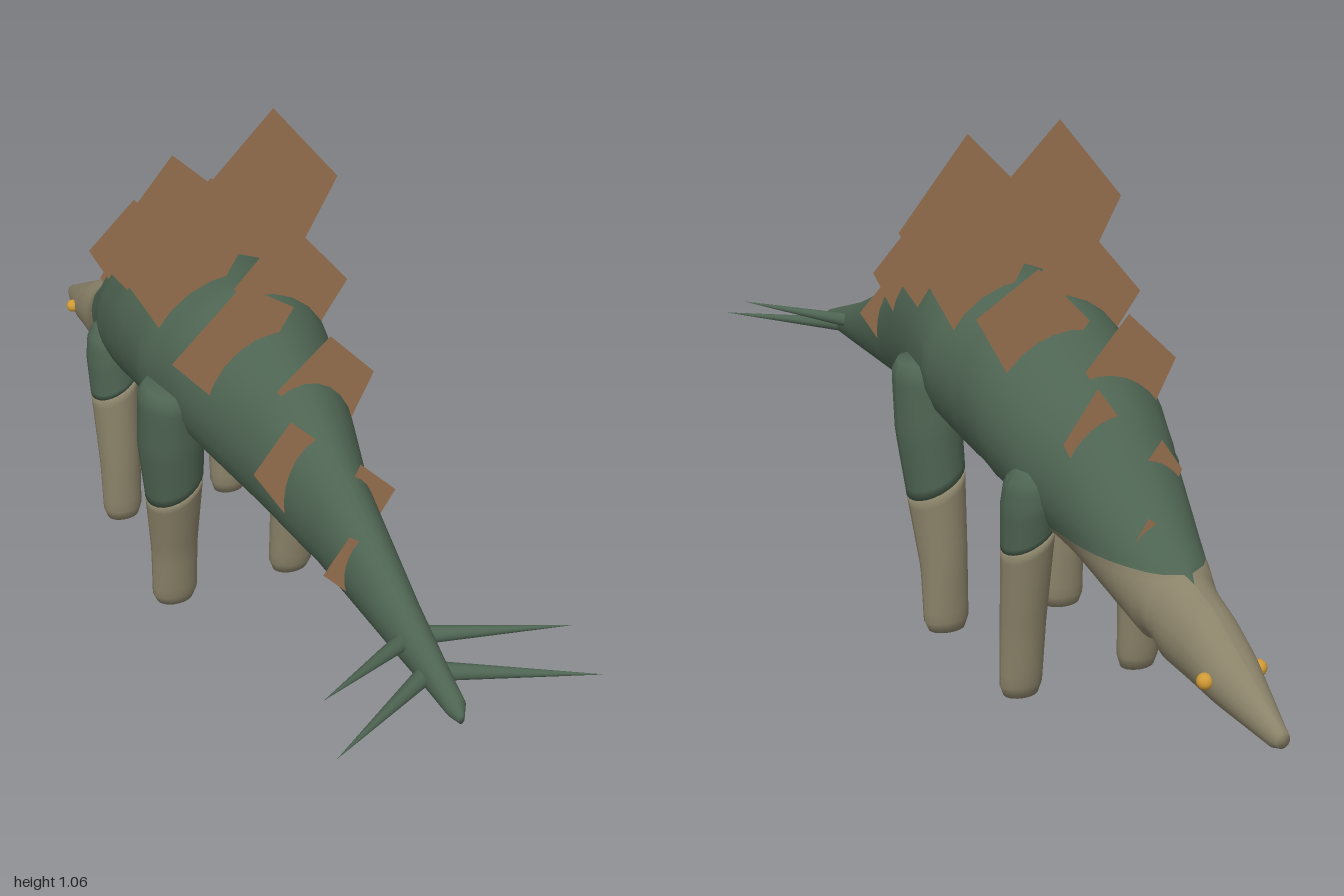
import * as THREE from 'three';

const mat = (name, color, side = THREE.FrontSide) => {
  const m = new THREE.MeshStandardMaterial({ color, side });
  m.name = name;
  return m;
};
const green = mat('moss green hide', 0x4e6452);
const tan = mat('tan underside', 0x8a8269);
const brown = mat('brown plate', 0x9a7351, THREE.DoubleSide);
const gold = mat('amber eye', 0xd09a35);

// Piecewise linear lookup in a list of [key, value] pairs with rising keys
function sample(list, k) {
  let i = 1;
  while (i < list.length - 1 && list[i][0] < k) i++;
  const [a, va] = list[i - 1], [b, vb] = list[i];
  return va + (vb - va) * THREE.MathUtils.clamp((k - a) / (b - a), 0, 1);
}

// Skins a grid of rows x columns of points, wound so that the outside faces out
function skin(rows, flip) {
  const n = rows[0].length, idx = [];
  for (let i = 0; i < rows.length - 1; i++) {
    for (let j = 0; j < n - 1; j++) {
      const a = i * n + j, b = a + 1, c = a + n, d = c + 1;
      if (flip) idx.push(a, c, b, b, c, d);
      else idx.push(a, b, c, b, d, c);
    }
  }
  const g = new THREE.BufferGeometry();
  g.setAttribute('position', new THREE.Float32BufferAttribute(rows.flat(2), 3));
  g.setIndex(idx);
  g.computeVertexNormals();
  return g;
}

function add(parent, name, geometry, material) {
  const m = new THREE.Mesh(geometry, material);
  m.name = name;
  parent.add(m);
  return m;
}

// Body outlines along z, from the snout to the tail tip
const TOP = [[-1, 0.215], [-0.78, 0.345], [-0.71, 0.37], [-0.6, 0.465], [-0.44, 0.615], [-0.19, 0.75],
  [0.07, 0.775], [0.33, 0.70], [0.51, 0.605], [0.74, 0.50], [0.94, 0.43], [0.96, 0.41]];
const BOTTOM = [[-1, 0.185], [-0.98, 0.177], [-0.7, 0.205], [-0.665, 0.235], [-0.64, 0.225], [-0.45, 0.3],
  [-0.3, 0.345], [0, 0.41], [0.14, 0.405], [0.46, 0.39], [0.96, 0.39]];
const WIDTH = [[-1, 0.014], [-0.97, 0.022], [-0.85, 0.052], [-0.69, 0.07], [-0.47, 0.125], [-0.35, 0.165],
  [-0.24, 0.182], [-0.02, 0.195], [0.13, 0.165], [0.3, 0.118], [0.5, 0.066], [0.87, 0.025], [0.95, 0.018], [0.96, 0.006]];

// The body is split into a green back and a tan underside at a given height
function bodyRows(upper) {
  const rows = [];
  const zs = [];
  for (let i = 0; i <= 98; i++) zs.push(-1 + i * 0.02);
  for (const z of [zs[0], ...zs, zs[98]]) {
    const cap = rows.length === 0 || rows.length === zs.length + 1;
    const t = sample(TOP, z), b = sample(BOTTOM, z), w = sample(WIDTH, z);
    const cy = (t + b) / 2, ry = (t - b) / 2;
    const cut = z > 0 ? 0.3 : 0.378;
    const a0 = Math.asin(THREE.MathUtils.clamp((cut - cy) / ry, -1, 1));
    const from = upper ? a0 : Math.PI - a0, to = upper ? Math.PI - a0 : 2 * Math.PI + a0;
    const row = [];
    for (let j = 0; j <= 24; j++) {
      const a = from + (to - from) * j / 24;
      row.push(cap ? [0, cy, z] : [w * Math.cos(a), cy + ry * Math.sin(a), z]);
    }
    rows.push(row);
  }
  return rows;
}

// Leg sections: [y, x, z, half width in x, half width in z]
const HIND = [[0, 0.137, 0.005, 0.04, 0.028], [0.015, 0.137, 0.006, 0.049, 0.034], [0.15, 0.138, 0.012, 0.05, 0.046],
  [0.33, 0.145, 0.035, 0.06, 0.067], [0.45, 0.155, 0.045, 0.067, 0.073], [0.56, 0.164, 0.055, 0.058, 0.07],
  [0.58, 0.164, 0.057, 0.046, 0.055]];
const FORE = [[0, 0.132, -0.32, 0.036, 0.026], [0.015, 0.132, -0.32, 0.044, 0.032], [0.15, 0.131, -0.327, 0.046, 0.041],
  [0.33, 0.131, -0.345, 0.052, 0.054], [0.42, 0.132, -0.355, 0.055, 0.06], [0.46, 0.132, -0.358, 0.05, 0.055],
  [0.485, 0.132, -0.36, 0.03, 0.035]];

function legRows(sections, side, y0, y1) {
  const col = (k, y) => sample(sections.map((s) => [s[0], s[k]]), y);
  const rows = [], steps = 14;
  for (let i = -1; i <= steps + 1; i++) {
    const y = y0 + (y1 - y0) * THREE.MathUtils.clamp(i / steps, 0, 1);
    const cap = i < 0 || i > steps ? 0 : 1;
    // The colour border is slanted, higher on the inside of the leg
    const tilt = y0 === 0 ? (y / y1) : 1 - (y - y0) / (y1 - y0);
    const row = [];
    for (let j = 0; j <= 24; j++) {
      const a = j / 24 * Math.PI * 2;
      const dx = col(3, y) * Math.cos(a) * cap;
      row.push([side * (col(1, y) + dx), y - dx * 0.55 * tilt, col(2, y) + col(4, y) * Math.sin(a) * cap]);
    }
    rows.push(row);
  }
  return rows;
}

// Back plates from tail to neck: z, then apex, outer, base and inner corners as x, y
const PLATES = [
  [0.62, -0.045, 0.56, -0.095, 0.49, -0.04, 0.43, -0.02, 0.54],
  [0.51, 0.03, 0.625, 0.105, 0.548, 0.05, 0.46, 0.0, 0.56],
  [0.43, -0.073, 0.695, -0.146, 0.60, -0.08, 0.49, -0.018, 0.64],
  [0.33, 0.053, 0.79, 0.147, 0.69, 0.08, 0.55, -0.055, 0.695],
  [0.20, -0.067, 0.857, -0.21, 0.72, -0.09, 0.58, 0.04, 0.785],
  [0.10, 0.076, 0.91, 0.204, 0.757, 0.1, 0.6, -0.04, 0.79],
  [0.01, -0.126, 1.05, -0.27, 0.88, -0.115, 0.6, 0.05, 0.88],
  [-0.085, 0.125, 1.06, 0.27, 0.885, 0.115, 0.6, -0.05, 0.885],
  [-0.18, -0.08, 0.88, -0.205, 0.735, -0.09, 0.58, 0.03, 0.79],
  [-0.27, 0.07, 0.835, 0.2, 0.755, 0.09, 0.56, -0.04, 0.72],
  [-0.38, -0.06, 0.76, -0.165, 0.66, -0.07, 0.48, 0.03, 0.66],
  [-0.46, 0.05, 0.655, 0.12, 0.56, 0.06, 0.44, -0.02, 0.56],
  [-0.53, -0.045, 0.565, -0.09, 0.5, -0.04, 0.4, 0.0, 0.51],
  [-0.62, 0.035, 0.46, 0.06, 0.42, 0.03, 0.35, 0.0, 0.43],
];

export function createModel() {
  const root = new THREE.Group();
  root.name = 'platedDinosaur';

  add(root, 'backAndTail', skin(bodyRows(true)), green);
  add(root, 'headAndBelly', skin(bodyRows(false)), tan);

  // Flat upright plates in two staggered rows
  const plates = new THREE.Group();
  plates.name = 'backPlates';
  root.add(plates);
  for (const [z, ...p] of PLATES) {
    const shape = new THREE.Shape([0, 2, 4, 6].map((i) => new THREE.Vector2(p[i], p[i + 1])));
    add(plates, 'backPlate', new THREE.ShapeGeometry(shape), brown).position.z = z;
  }

  const up = new THREE.Vector3(0, 1, 0);
  for (const side of [1, -1]) {
    const word = side > 0 ? 'left' : 'right';

    // Legs: tan shin and green thigh
    for (const [part, sections, cut] of [['HindLeg', HIND, 0.325], ['ForeLeg', FORE, 0.345]]) {
      const leg = new THREE.Group();
      leg.name = word + part;
      root.add(leg);
      const top = sections[sections.length - 1][0];
      add(leg, 'lowerLeg', skin(legRows(sections, side, 0, cut), side > 0), tan);
      add(leg, 'upperLeg', skin(legRows(sections, side, cut, top), side > 0), green);
    }

    // Eyes
    add(root, word + 'Eye', new THREE.SphereGeometry(0.015, 16, 12), gold).position.set(side * 0.055, 0.25, -0.845);

    // Tail spikes
    for (const [base, tip] of [[[0, 0.415, 0.845], [0.255, 0.44, 0.998]], [[0, 0.44, 0.775], [0.238, 0.488, 0.912]]]) {
      const a = new THREE.Vector3(...base), b = new THREE.Vector3(...tip);
      b.x *= side;
      const dir = b.clone().sub(a);
      const spike = add(root, word + 'TailSpike', new THREE.ConeGeometry(0.018, dir.length(), 16), green);
      spike.position.copy(a).add(b).multiplyScalar(0.5);
      spike.quaternion.setFromUnitVectors(up, dir.normalize());
    }
  }
  return root;
}
